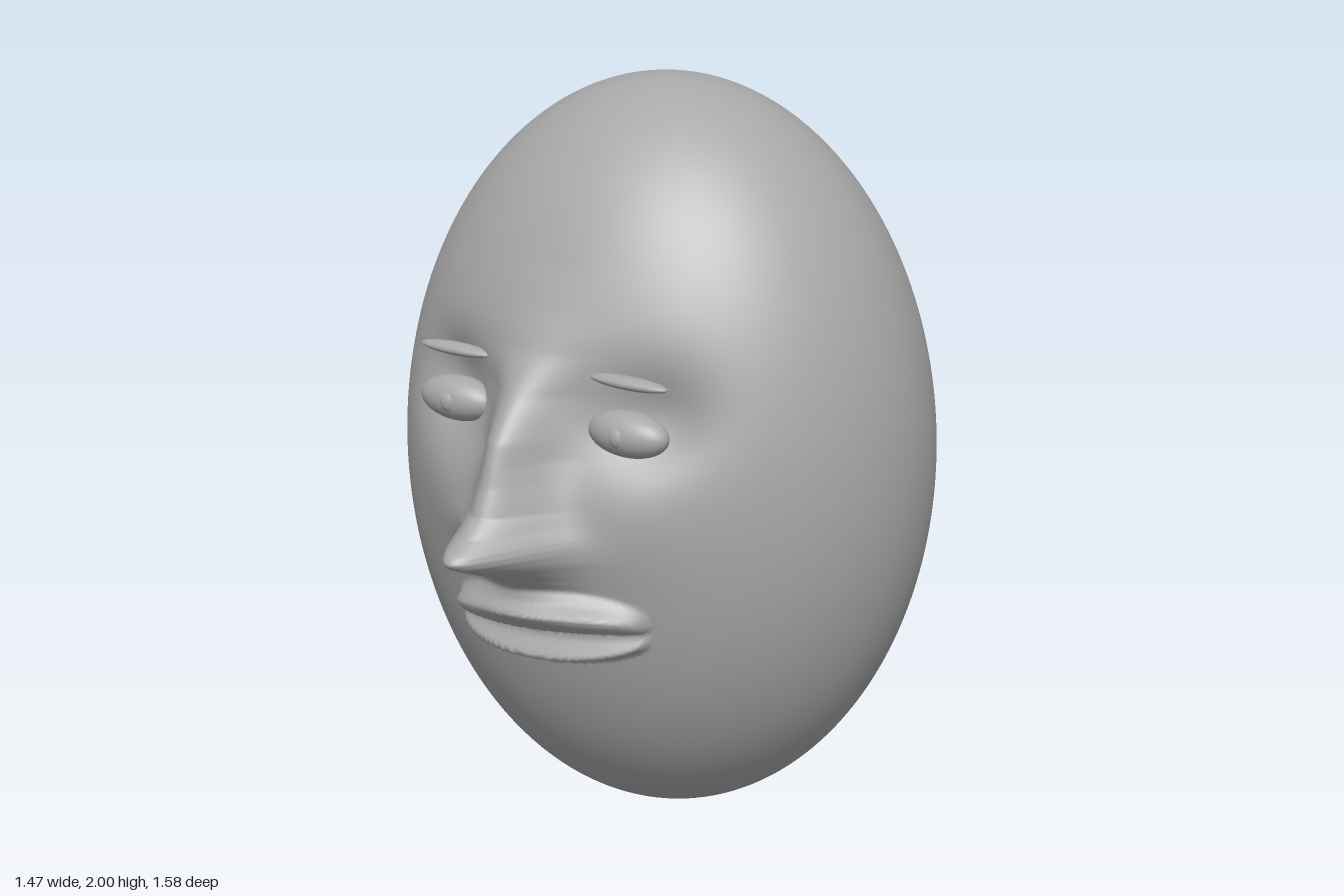
import * as THREE from 'three';
import { mergeVertices } from 'three/addons/utils/BufferGeometryUtils.js';

// Linear interpolation through [position, value] pairs in rising order
function ramp(points, p) {
  if (p <= points[0][0]) return points[0][1];
  for (let i = 1; i < points.length; i++) {
    const [a, va] = points[i - 1], [b, vb] = points[i];
    if (p <= b) return va + (vb - va) * (p - a) / (b - a);
  }
  return points[points.length - 1][1];
}
const bell = (d, s) => Math.exp(-0.5 * (d / s) ** 2);

// Height of the nose ridge and its half-width, by y
const noseHeight = [[0.72, 0], [0.78, 0.04], [0.82, 0.075], [0.85, 0.12], [0.88, 0.18], [0.91, 0.25],
  [0.93, 0.29], [0.945, 0.302], [0.96, 0.29], [0.99, 0.235], [1.03, 0.185], [1.1, 0.155],
  [1.2, 0.13], [1.3, 0.075], [1.4, 0.028], [1.5, 0.01], [1.6, 0]];
const noseWidth = [[0.8, 0.1], [0.9, 0.095], [1.0, 0.08], [1.15, 0.06], [1.3, 0.06], [1.45, 0.09]];
// Lip relief across the mouth, measured from the mouth line
const lipRelief = [[-0.1, 0], [-0.082, 0.058], [-0.07, 0.054], [-0.03, 0.012], [-0.005, 0.006],
  [0.01, 0.06], [0.04, 0.085], [0.062, 0.088], [0.09, 0.035], [0.12, 0]];

// Forward relief of the face at (x, y)
function relief(x, y) {
  let z = ramp(noseHeight, y) * bell(x, ramp(noseWidth, y));
  // Eye sockets
  z -= 0.075 * bell(Math.abs(x) - 0.29, 0.1) * bell(y - 1.25, 0.085);
  // Cheeks
  z += 0.02 * bell(Math.abs(x) - 0.26, 0.1) * bell(y - 1.0, 0.12);
  // Slightly tilted lips
  const u = (x - 0.025) / 0.29;
  if (Math.abs(u) < 1) {
    const fade = Math.sqrt(1 - u * u);
    const v = y - (0.688 + 0.09 * (x - 0.025));
    z += ramp(lipRelief, v / (0.3 + 0.7 * fade)) * Math.pow(fade, 0.8);
  }
  return z;
}

// Egg-shaped head: rings around the z axis, packed closely over the face
function headGeometry() {
  const rings = 220, segments = 280;
  const g = new THREE.SphereGeometry(1, segments, rings);
  g.rotateX(Math.PI / 2);
  const p = g.attributes.position;
  for (let i = 0; i < p.count; i++) {
    const t = Math.acos(THREE.MathUtils.clamp(p.getZ(i), -1, 1)) / Math.PI;
    const angle = Math.PI * Math.pow(t, 1.5);
    const around = Math.atan2(p.getY(i), p.getX(i));
    const r = t > 0.9999 ? 0 : Math.sin(angle);
    const x = 0.735 * r * Math.cos(around);
    const y = 1 + r * Math.sin(around);
    let z = -0.15 + 0.64 * Math.cos(angle);
    if (angle < Math.PI / 2) z += relief(x, y) * Math.min(1, Math.cos(angle) * 3);
    p.setXYZ(i, x, y, z);
  }
  g.deleteAttribute('uv');
  g.deleteAttribute('normal');
  const merged = mergeVertices(g, 1e-5);
  merged.computeVertexNormals();
  return merged;
}

export function createModel() {
  const model = new THREE.Group();
  const grey = new THREE.MeshStandardMaterial({ color: 0xa8a8a8 });
  grey.name = 'clay grey';

  const head = new THREE.Mesh(headGeometry(), grey);
  head.name = 'head';
  model.add(head);

  const ball = new THREE.SphereGeometry(1, 40, 24);
  function ellipsoid(name, position, radii) {
    const m = new THREE.Mesh(ball, grey);
    m.name = name;
    m.position.set(...position);
    m.scale.set(...radii);
    model.add(m);
  }
  // Eyes, irises and brows on both sides
  for (const [side, s] of [['left', 1], ['right', -1]]) {
    ellipsoid(side + 'Eye', [s * 0.263, 1.225, 0.41], [0.114, 0.058, 0.057]);
    ellipsoid(side + 'Iris', [s * 0.261, 1.225, 0.44], [0.034, 0.034, 0.031]);
    ellipsoid(side + 'Brow', [s * 0.264, 1.354, 0.412], [0.113, 0.016, 0.028]);
  }
  return model;
}
